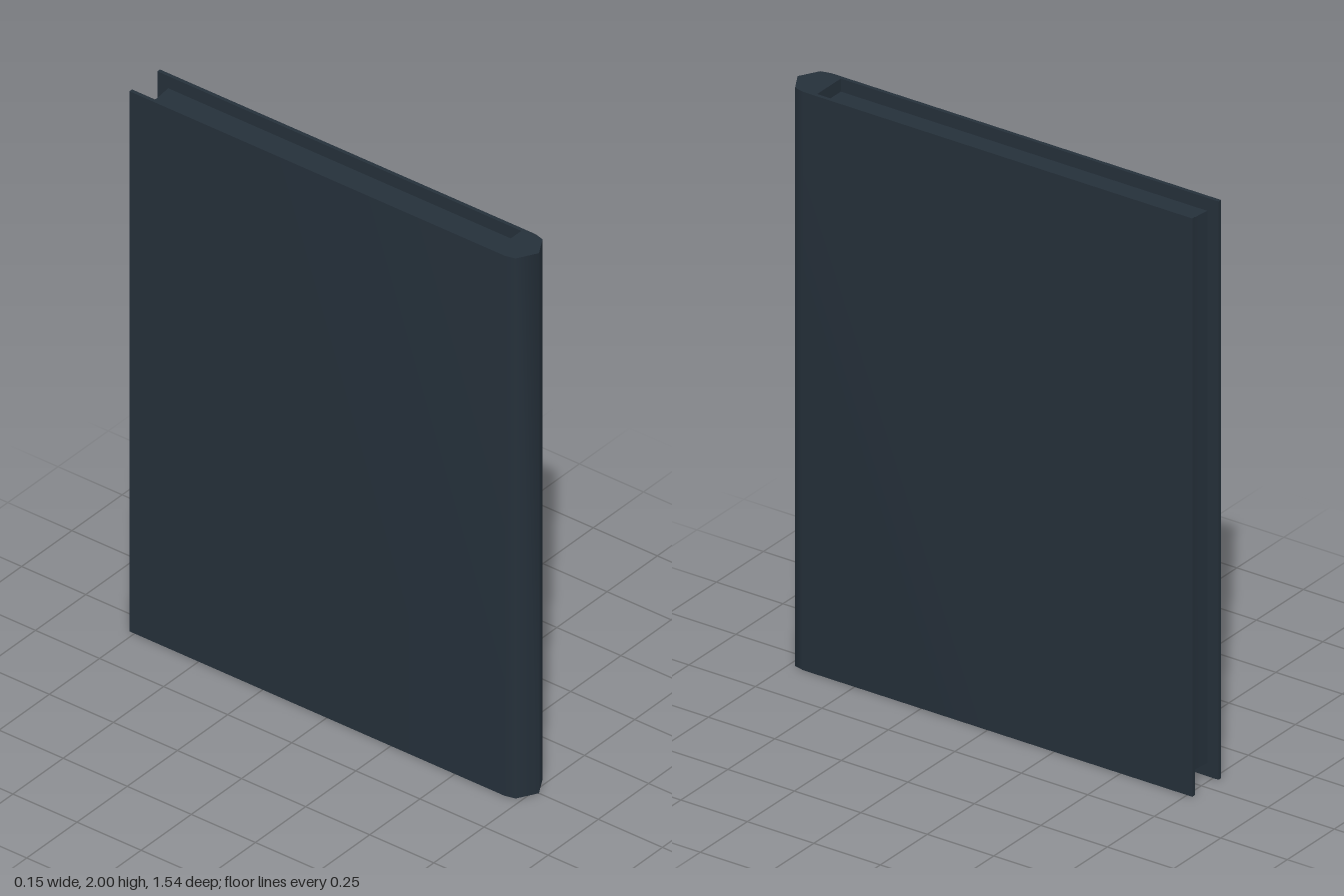
import * as THREE from 'three';
import { toCreasedNormals } from 'three/addons/utils/BufferGeometryUtils.js';

const HEIGHT = 2;
const INSET = 0.045; // page block sits back from the cover's top and bottom

// Extrudes an outline of [x, z] points upward from y0 to y1.
function upright(points, y0, y1) {
  const shape = new THREE.Shape(points.map(([x, z]) => new THREE.Vector2(x, -z)));
  const geometry = new THREE.ExtrudeGeometry(shape, { depth: y1 - y0, bevelEnabled: false });
  geometry.rotateX(-Math.PI / 2).translate(0, y0, 0);
  return toCreasedNormals(geometry, 1.15);
}

// Closes half an outline (x > 0) by mirroring it across x = 0.
function mirrored(half) {
  const other = half.filter(([x]) => x > 0).reverse().map(([x, z]) => [-x, z]);
  return [...half, ...other];
}

export function createModel() {
  const book = new THREE.Group();
  book.name = 'book';
  const slate = new THREE.MeshStandardMaterial({ name: 'darkSlate', color: 0x25303a });

  // Two boards joined by a ridged spine
  const coverOutline = mirrored([
    [0, 0.768], [0.067, 0.73], [0.076, 0.695], [0.076, -0.77],
    [0.063, -0.77], [0.063, 0.65],
  ]);
  const cover = new THREE.Mesh(upright(coverOutline, 0, HEIGHT), slate);
  cover.name = 'cover';

  // Page block with a slightly hollow fore edge
  const pageOutline = mirrored([
    [0.063, 0.65], [0.063, -0.728], [0.03, -0.724], [0, -0.721],
  ]);
  const pages = new THREE.Mesh(upright(pageOutline, INSET, HEIGHT - INSET), slate);
  pages.name = 'pageBlock';

  book.add(cover, pages);
  return book;
}
